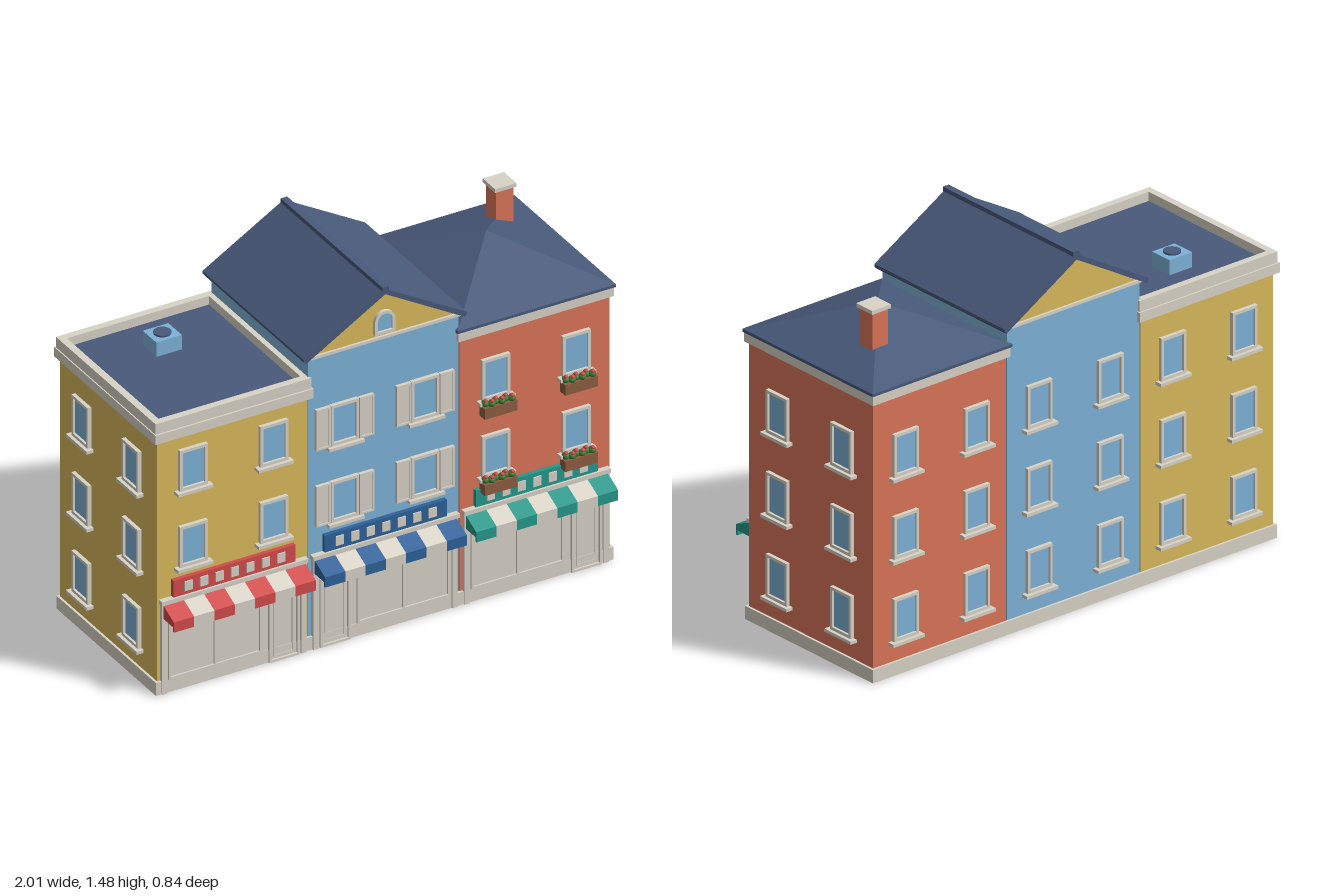
import * as THREE from 'three';

const mat = (name, color) => Object.assign(new THREE.MeshStandardMaterial({ color }), { name });
const M = {
  yellow: mat('yellow wall', 0xd9b95c), blue: mat('blue wall and glass', 0x7db2d8),
  coral: mat('coral wall', 0xdb7558), red: mat('red awning', 0xd24a4a),
  navy: mat('blue awning', 0x2e6299), teal: mat('teal awning', 0x26988a),
  slate: mat('slate roof', 0x48597a), stone: mat('pale stone', 0xd9d3c7),
  wood: mat('brown planter', 0x8e5d40), leaf: mat('green leaves', 0x3f7d34),
};
const FRONT = 0.325, BACK = -0.39, MID = (FRONT + BACK) / 2, DEPTH = FRONT - BACK, W = 0.646;

function add(parent, name, geo, material, x = 0, y = 0, z = 0) {
  const m = new THREE.Mesh(geo, material);
  m.name = name;
  m.position.set(x, y, z);
  parent.add(m);
  return m;
}
// Box given by centre x, bottom y and centre z
const box = (p, name, material, w, h, d, x, y, z) =>
  add(p, name, new THREE.BoxGeometry(w, h, d), material, x, y + h / 2, z);

function group(parent, name, x = 0, y = 0, z = 0) {
  const g = new THREE.Group();
  g.name = name;
  g.position.set(x, y, z);
  parent.add(g);
  return g;
}
const shape = (pts) => new THREE.Shape(pts.map(([x, y]) => new THREE.Vector2(x, y)));
const extrude = (s, depth) => new THREE.ExtrudeGeometry(s, { depth, bevelEnabled: false, curveSegments: 8 });

// Rectangular moulding standing proud of the wall
function frame(p, name, w, h, bar, d, x, y, z) {
  for (const s of [-1, 1]) box(p, name, M.stone, bar, h, d, x + s * (w - bar) / 2, y, z);
  for (const b of [0, h - bar]) box(p, name, M.stone, w - 2 * bar, bar, d, x, y + b, z);
}

// Sash window facing +z, origin at the bottom of the frame on the wall
function sash(parent, x, y, z, turn = 0) {
  const g = group(parent, 'window', x, y, z);
  g.rotation.y = turn;
  box(g, 'glass', M.blue, 0.1, 0.16, 0.006, 0, 0.008, 0.003);
  frame(g, 'windowFrame', 0.12, 0.175, 0.012, 0.016, 0, 0, 0.008);
  box(g, 'sill', M.stone, 0.152, 0.013, 0.03, 0, -0.013, 0.015);
  return g;
}

function shutters(win) {
  for (const s of [-1, 1]) {
    const g = group(win, 'shutter', s * 0.093, 0, 0.008);
    box(g, 'shutterPanel', M.stone, 0.062, 0.175, 0.01, 0, 0, 0);
    frame(g, 'shutterRail', 0.062, 0.175, 0.008, 0.005, 0, 0, 0.007);
  }
}

function planter(win) {
  const g = group(win, 'flowerBox', 0, -0.058, 0.03);
  box(g, 'planterBox', M.wood, 0.14, 0.045, 0.04, 0, 0, 0);
  for (let i = 0; i < 6; i++) {
    const x = -0.054 + i * 0.0216;
    add(g, 'leaves', new THREE.IcosahedronGeometry(0.016, 1), M.leaf, x, 0.053, (i % 2) * 0.01 - 0.005);
    add(g, 'flower', new THREE.IcosahedronGeometry(0.009, 1), M.red, x, 0.066, (i % 2) * 0.012 - 0.002);
  }
}

// Striped awning, sign board and stone shopfront; side is where the door sits
function shop(house, colour, side) {
  const g = group(house, 'shop');
  box(g, 'shopfront', M.stone, 0.62, 0.4, 0.008, 0, 0, FRONT + 0.004);
  for (const s of [-1, 1]) box(g, 'pilaster', M.stone, 0.022, 0.4, 0.016, s * 0.299, 0, FRONT + 0.008);
  box(g, 'shopCornice', M.stone, 0.63, 0.018, 0.024, 0, 0.388, FRONT + 0.012);
  frame(g, 'doorFrame', 0.13, 0.295, 0.01, 0.018, side * 0.215, 0, FRONT + 0.009);
  frame(g, 'doorPanel', 0.085, 0.25, 0.006, 0.012, side * 0.215, 0.02, FRONT + 0.006);
  frame(g, 'shopWindowFrame', 0.4, 0.25, 0.01, 0.015, -side * 0.08, 0.055, FRONT + 0.0075);
  box(g, 'shopMullion', M.stone, 0.008, 0.23, 0.014, -side * 0.08, 0.065, FRONT + 0.007);
  box(g, 'signBoard', colour, 0.525, 0.072, 0.018, 0, 0.408, FRONT + 0.009);
  const profile = shape([[0.33, 0.328], [0.411, 0.328], [0.411, 0.308], [0.419, 0.308], [0.419, 0.352], [0.33, 0.39]]);
  const sw = 0.61 / 7;
  for (let i = 0; i < 7; i++) {
    box(g, 'signBlock', M.stone, 0.034, 0.04, 0.006, (i - 3) * 0.0665, 0.424, FRONT + 0.02);
    const stripe = extrude(profile, sw).rotateY(-Math.PI / 2);
    add(g, 'awningStripe', stripe, i % 2 ? M.stone : colour, (i - 2.5) * sw);
  }
}

// Walls, plinth, shop and all windows of one house
function house(root, name, x, wall, height, awning, doorSide, dress) {
  const g = group(root, name, x);
  box(g, 'walls', wall, W, height - 0.01, DEPTH, 0, 0.01, MID);
  box(g, 'plinth', M.stone, W + 0.02, 0.055, DEPTH + 0.02, 0, 0, MID);
  shop(g, awning, doorSide);
  for (const s of [-1, 1]) {
    for (const y of [0.525, 0.855]) {
      const win = sash(g, s * 0.173, y, FRONT);
      if (dress) dress(win);
    }
    for (const y of [0.14, 0.478, 0.815]) sash(g, s * 0.173, y, BACK, Math.PI);
  }
  return g;
}

function sideWindows(g, s) {
  for (const z of [0.15, -0.22])
    for (const y of [0.14, 0.478, 0.815]) sash(g, s * W / 2, y, z, s * Math.PI / 2);
}

// Round-headed outline
function arch(w, h) {
  const s = new THREE.Shape();
  s.moveTo(-w / 2, 0);
  s.lineTo(w / 2, 0);
  s.lineTo(w / 2, h - w / 2);
  s.absarc(0, h - w / 2, w / 2, 0, Math.PI, false);
  s.closePath();
  return s;
}

export function createModel() {
  const root = new THREE.Group();
  root.name = 'townhouseRow';

  // Flat-roofed house with parapet and roof unit
  const a = house(root, 'flatRoofHouse', -0.65, M.yellow, 1.09, M.red, 1);
  sideWindows(a, -1);
  box(a, 'cornice', M.stone, 0.68, 0.04, 0.75, 0, 1.09, MID);
  box(a, 'flatRoof', M.slate, 0.63, 0.008, 0.7, 0, 1.13, MID);
  for (const s of [-1, 1]) {
    box(a, 'parapet', M.stone, 0.03, 0.045, 0.735, s * 0.32, 1.13, MID);
    box(a, 'parapet', M.stone, 0.61, 0.045, 0.03, 0, 1.13, MID + s * 0.3525);
  }
  box(a, 'roofUnit', M.blue, 0.11, 0.062, 0.1, 0, 1.138, -0.19);
  add(a, 'roofFan', new THREE.CylinderGeometry(0.034, 0.034, 0.008, 20), M.slate, 0, 1.203, -0.19);

  // Gabled house
  const b = house(root, 'gabledHouse', 0, M.blue, 1.25, M.navy, -1, shutters);
  box(b, 'gableCornice', M.stone, 0.67, 0.012, DEPTH + 0.02, 0, 1.25, MID);
  add(b, 'gable', extrude(shape([[-0.32, 1.262], [0.32, 1.262], [0, 1.452]]), DEPTH), M.yellow, 0, 0, BACK);
  const slab = shape([[-0.35, 1.254], [-0.342, 1.244], [0, 1.445], [0.342, 1.244], [0.35, 1.254], [0.35, 1.264], [0, 1.468], [-0.35, 1.264]]);
  add(b, 'gableRoof', extrude(slab, 0.75), M.slate, 0, 0, BACK - 0.02);
  box(b, 'ridgeCap', M.slate, 0.028, 0.022, 0.752, 0, 1.456, MID);
  const rim = arch(0.088, 0.098);
  rim.holes.push(new THREE.Path(arch(0.064, 0.074).getPoints(8).map((p) => p.add(new THREE.Vector2(0, 0.012)))));
  add(b, 'atticWindowFrame', extrude(rim, 0.014), M.stone, 0, 1.274, FRONT);
  add(b, 'atticGlass', extrude(arch(0.07, 0.08), 0.005), M.blue, 0, 1.283, FRONT);

  // Hip-roofed house with chimney
  const c = house(root, 'hipRoofHouse', 0.65, M.coral, 1.14, M.teal, 1, planter);
  sideWindows(c, 1);
  box(c, 'cornice', M.stone, 0.67, 0.04, 0.74, 0, 1.14, MID);
  box(c, 'eaves', M.slate, 0.68, 0.012, 0.75, 0, 1.18, MID);
  const hip = new THREE.ConeGeometry(Math.SQRT1_2, 1, 4).rotateY(Math.PI / 4).scale(0.68, 0.143, 0.75).toNonIndexed();
  hip.computeVertexNormals();
  add(c, 'hipRoof', hip, M.slate, 0, 1.192 + 0.0715, MID);
  box(c, 'chimney', M.coral, 0.075, 0.22, 0.075, 0.147, 1.19, -0.185);
  box(c, 'chimneyCap', M.stone, 0.092, 0.016, 0.092, 0.147, 1.41, -0.185);

  return root;
}
